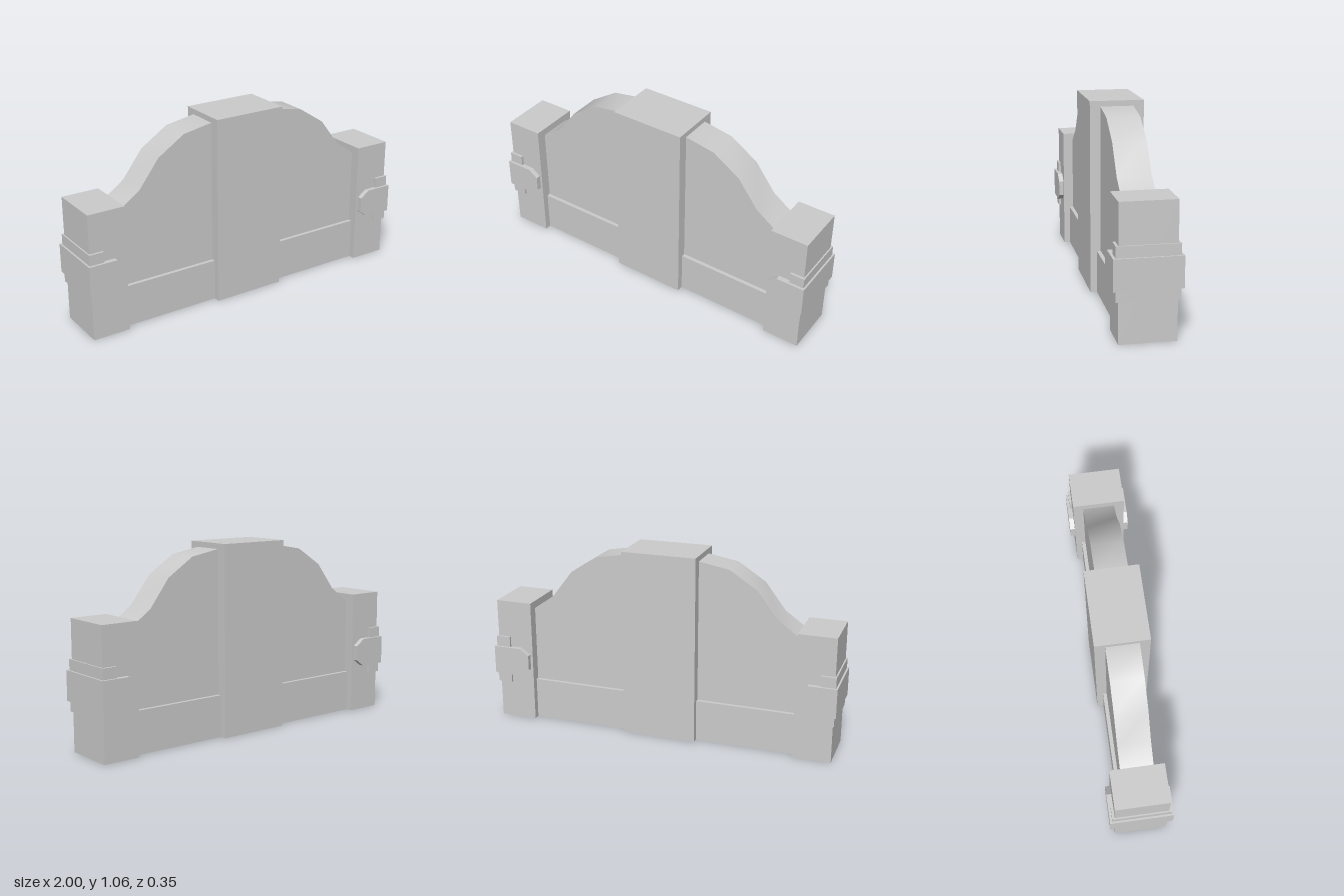
import * as THREE from 'three';
import { toCreasedNormals } from 'three/addons/utils/BufferGeometryUtils.js';

const material = new THREE.MeshStandardMaterial({ color: 0xcccccc });

function add(parent, name, geometry) {
  const mesh = new THREE.Mesh(geometry, material);
  mesh.name = name;
  parent.add(mesh);
}

// Box given by its x and y ranges, centred on z
function block(x0, x1, y0, y1, depth) {
  return new THREE.BoxGeometry(x1 - x0, y1 - y0, depth)
    .translate((x0 + x1) / 2, (y0 + y1) / 2, 0);
}

// Front outline extruded along z and centred, smooth over shallow bends
function slab(points, depth) {
  const shape = new THREE.Shape(points.map(([x, y]) => new THREE.Vector2(x, y)));
  const geometry = new THREE.ExtrudeGeometry(shape, { depth, bevelEnabled: false })
    .translate(0, 0, -depth / 2);
  return toCreasedNormals(geometry, 0.55);
}

function createHalf(name) {
  const half = new THREE.Group();
  half.name = name;

  // Thin wall with a sweeping top edge
  add(half, 'curvedWall', slab([
    [0.2, 0], [0.78, 0], [0.78, 0.66], [0.77, 0.665], [0.65, 0.75],
    [0.535, 0.9], [0.38, 1.0], [0.21, 1.03], [0.2, 1.03],
  ], 0.178));
  // Thicker foot of the wall
  add(half, 'wallBase', block(0.2, 0.78, 0, 0.235, 0.22));
  add(half, 'endPost', block(0.77, 0.98, 0, 0.707, 0.292));

  // Two-layer clamp around the outside of the post
  add(half, 'clampBacking', block(0.905, 0.988, 0.217, 0.494, 0.32));
  add(half, 'clampBand', slab([
    [0.998, 0.272], [0.998, 0.435], [0.838, 0.435],
    [0.785, 0.397], [0.785, 0.31], [0.838, 0.272],
  ], 0.348));
  return half;
}

export function createModel() {
  const model = new THREE.Group();
  model.name = 'barrierWall';

  add(model, 'centrePillar', block(-0.21, 0.21, 0, 1.06, 0.292));

  const left = createHalf('leftHalf');
  const right = createHalf('rightHalf');
  right.rotation.y = Math.PI;
  model.add(left, right);
  return model;
}
